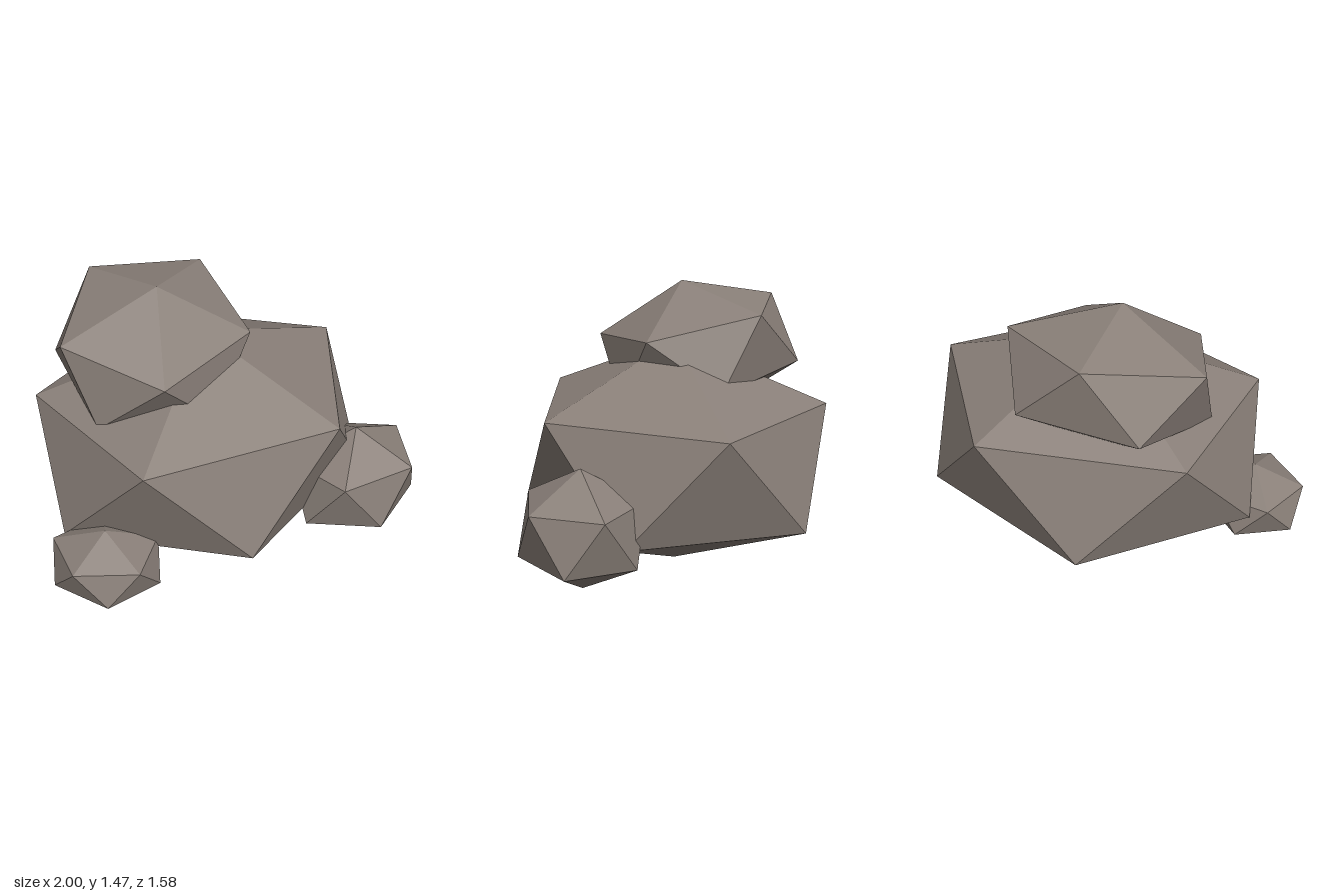
import * as THREE from 'three';

const stone = new THREE.MeshStandardMaterial({ color: 0x8a8079, flatShading: true });
stone.name = 'stone grey';

// A stretched icosahedron: two apexes at centre +/- up and two staggered rings
// of five corners spanned by the axes u and v.
function rock(name, centre, up, u, v) {
  const [c, h, a, b] = [centre, up, u, v].map((p) => new THREE.Vector3(...p));
  const upper = [], lower = [];
  for (let k = 0; k < 5; k++) {
    const t = (k * Math.PI * 2) / 5;
    const offset = h.clone().multiplyScalar(Math.sqrt(0.2))
      .addScaledVector(a, Math.cos(t)).addScaledVector(b, Math.sin(t));
    upper.push(c.clone().add(offset));
    lower.push(c.clone().sub(offset));
  }
  const top = c.clone().add(h), bottom = c.clone().sub(h);
  const points = [];
  const face = (p, q, r) => {
    const normal = q.clone().sub(p).cross(r.clone().sub(p));
    const outward = normal.dot(p.clone().sub(c)) > 0;
    points.push(p, ...(outward ? [q, r] : [r, q]));
  };
  for (let k = 0; k < 5; k++) {
    const n = (k + 1) % 5;
    const opposite = lower[(k + 3) % 5]; // lower corner between upper k and n
    face(top, upper[k], upper[n]);
    face(upper[k], upper[n], opposite);
    face(bottom, lower[k], lower[n]);
    face(lower[k], lower[n], upper[(k + 3) % 5]);
  }
  const geometry = new THREE.BufferGeometry().setFromPoints(points);
  geometry.computeVertexNormals();
  const mesh = new THREE.Mesh(geometry, stone);
  mesh.name = name;
  return mesh;
}

export function createModel() {
  const group = new THREE.Group();
  group.name = 'rockPile';
  group.add(
    // big boulder at the base
    rock('mainBoulder', [-0.005, 0.603, -0.003], [0, 0.6, 0], [0.076, 0, -0.79], [0.886, 0, 0.011]),
    // tilted boulder lying on top
    rock('topBoulder', [-0.23, 1.115, -0.135], [0.005, 0.36, 0.085], [-0.144, -0.111, 0.487], [0.494, -0.026, 0.093]),
    // small stones at the front corners
    rock('leftStone', [0.665, 0.398, 0.46], [0, 0.303, 0], [-0.005, 0, -0.31], [0.354, 0, -0.03]),
    rock('rightStone', [-0.73, 0.288, 0.455], [0, 0.193, 0], [0.27, 0, 0.025], [-0.004, 0, 0.262]),
  );
  return group;
}
